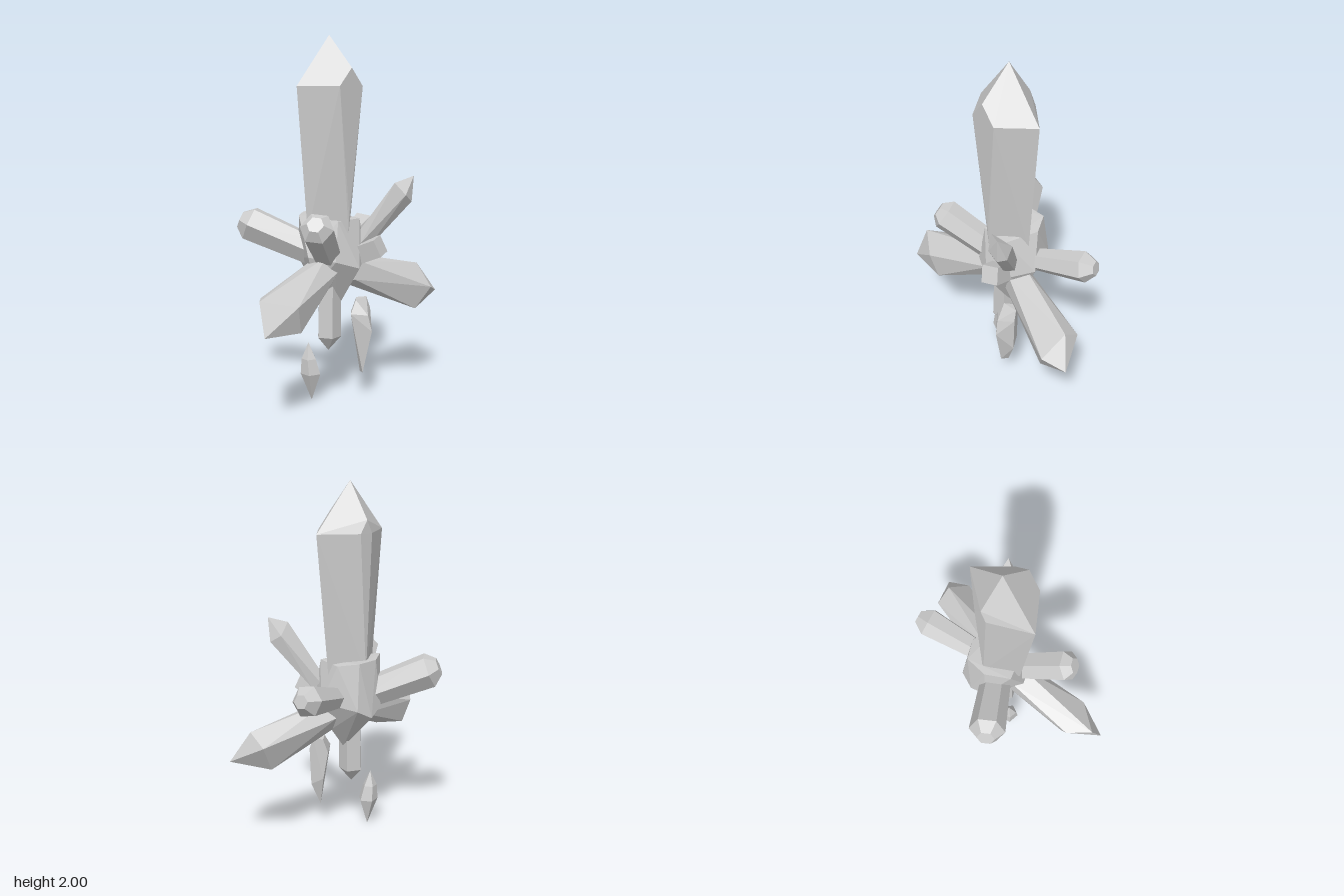
import * as THREE from 'three';
import { ConvexGeometry } from 'three/addons/geometries/ConvexGeometry.js';

const V = (p) => new THREE.Vector3(...p);

// Ring of points around an axis
function ring(center, dir, radius, sides, roll = 0) {
  const turn = new THREE.Quaternion().setFromUnitVectors(new THREE.Vector3(0, 1, 0), dir);
  return Array.from({ length: sides }, (_, i) => {
    const a = roll + (i / sides) * Math.PI * 2;
    return new THREE.Vector3(Math.cos(a) * radius, 0, Math.sin(a) * radius)
      .applyQuaternion(turn).add(center);
  });
}

export function createModel() {
  const group = new THREE.Group();
  const material = new THREE.MeshStandardMaterial({ color: 0xcccccc, flatShading: true });

  // Faceted solid around a handful of corners
  function facet(name, points) {
    const mesh = new THREE.Mesh(new ConvexGeometry(points), material);
    mesh.name = name;
    group.add(mesh);
  }

  // Regular crystal: base ring, wider shoulder ring, small blunt (or pointed) tip
  function crystal(name, { from, to, base, shoulder, at, tip = 0, sides = 6, roll = 0 }) {
    const a = V(from), b = V(to);
    const dir = b.clone().sub(a).normalize();
    facet(name, [
      ...ring(a, dir, base, sides, roll),
      ...ring(a.clone().lerp(b, at), dir, shoulder, sides, roll),
      ...(tip ? ring(b, dir, tip, sides, roll) : [b]),
    ]);
  }

  // Irregular crystal: base ring plus hand-cut head corners, the first being the tip
  function cutCrystal(name, from, radius, head) {
    const a = V(from), pts = head.map(V);
    const dir = pts[0].clone().sub(a).normalize();
    facet(name, [...ring(a, dir, radius, 5), ...pts]);
  }

  // Tall central crystal with narrow kite facets front and back
  facet('mainCrystal', [
    [-0.025, 2, 0.04],
    [-0.26, 1.73, 0.04], [0.21, 1.73, 0.04],
    [-0.025, 1.825, 0.21], [-0.11, 1.73, 0.208], [0.06, 1.73, 0.208], [-0.025, 1.05, 0.195],
    [-0.025, 1.8, -0.095], [-0.06, 1.73, -0.095], [0.02, 1.73, -0.095], [-0.025, 1.5, -0.092],
    [-0.185, 0.95, 0.04], [0.135, 0.95, 0.04], [-0.025, 0.95, 0.19], [-0.025, 0.95, -0.09],
  ].map(V));

  // Rough core rock
  facet('core', [
    [-0.185, 1.04, -0.03], [-0.085, 1.015, 0.17], [0.09, 1.015, 0.16], [0.13, 1.02, -0.03],
    [-0.07, 1.04, -0.12], [0.06, 1.04, -0.13],
    [-0.2, 0.82, 0.06], [0.19, 0.81, 0.04], [0.01, 0.757, 0.24], [-0.12, 0.8, 0.19],
    [0.13, 0.8, 0.17], [-0.09, 0.78, -0.14], [0.09, 0.78, -0.15], [0, 0.73, -0.165],
    [-0.15, 0.65, 0.06], [0.1, 0.63, 0.06], [0, 0.5, 0.07],
  ].map(V));

  // Long drooping side crystals
  cutCrystal('leftArmCrystal', [0.1, 0.72, 0.08], 0.09, [
    [0.67, 0.535, 0.23], [0.58, 0.7, 0.16], [0.57, 0.63, 0.06],
    [0.55, 0.58, 0.295], [0.476, 0.455, 0.24], [0.49, 0.48, 0.1],
  ]);
  cutCrystal('rightArmCrystal', [-0.1, 0.74, 0.08], 0.09, [
    [-0.677, 0.508, 0.26], [-0.65, 0.677, 0.19], [-0.55, 0.66, 0.08],
    [-0.48, 0.635, 0.29], [-0.44, 0.492, 0.265], [-0.5, 0.53, 0.1],
  ]);

  // Slim crystal rising at the front
  cutCrystal('frontTallCrystal', [0.11, 0.88, 0.16], 0.05, [
    [0.29, 1.25, 0.375], [0.185, 1.215, 0.33], [0.31, 1.12, 0.33],
    [0.28, 1.16, 0.27], [0.22, 1.15, 0.38], [0.28, 1.11, 0.37],
  ]);

  // Blunt side crystals
  crystal('frontRightCrystal', {
    from: [-0.1, 0.83, 0.1], to: [-0.36, 1.04, 0.285],
    base: 0.08, shoulder: 0.09, at: 0.88, tip: 0.045,
  });
  crystal('backRightCrystal', {
    from: [-0.06, 0.82, -0.02], to: [-0.335, 1.0, -0.345],
    base: 0.085, shoulder: 0.1, at: 0.88, tip: 0.05, roll: 0.3,
  });
  crystal('backLeftCrystal', {
    from: [0.1, 0.83, 0.0], to: [0.475, 0.92, -0.145],
    base: 0.06, shoulder: 0.088, at: 0.84, tip: 0.04,
  });
  crystal('frontStubCrystal', {
    from: [0.06, 0.8, 0.12], to: [0.115, 0.875, 0.295],
    base: 0.07, shoulder: 0.07, at: 0.95, tip: 0.07, sides: 4, roll: 0.3,
  });

  // Crystal hanging under the core
  crystal('hangingCrystal', {
    from: [-0.045, 0.72, 0.06], to: [-0.055, 0.28, 0.065],
    base: 0.065, shoulder: 0.07, at: 0.82, sides: 5, roll: 0.2,
  });

  // Loose floating shards
  facet('largeShard', [
    [0.065, 0.56, 0.16], [0.16, 0.565, 0.15], [0.12, 0.56, 0.11],
    [0.015, 0.49, 0.17], [0.17, 0.5, 0.17], [0.09, 0.48, 0.23], [0.1, 0.48, 0.09],
    [0.05, 0.36, 0.18], [0.1, 0.39, 0.25], [0.16, 0.28, 0.17], [0.12, 0.32, 0.11],
    [0.08, 0.15, 0.2], [0.1, 0.145, 0.16],
  ].map(V));
  facet('smallShard', [
    V([-0.15, 0.33, 0.005]), V([-0.135, 0, 0.015]),
    ...ring(V([-0.15, 0.24, 0.01]), V([0, 1, 0]), 0.042, 5),
    ...ring(V([-0.14, 0.155, 0.015]), V([0, 1, 0]), 0.058, 5),
  ]);

  return group;
}
